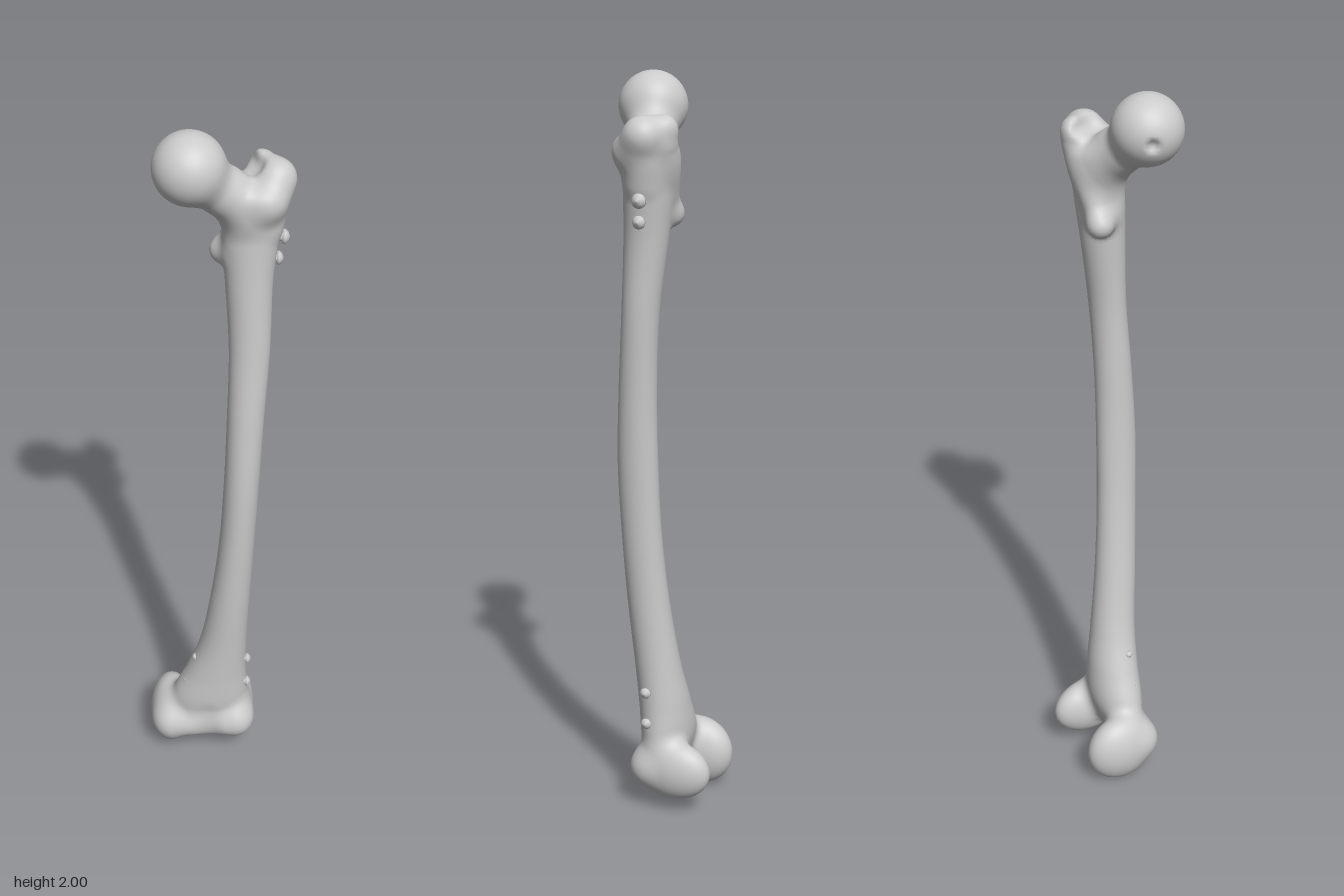
import * as THREE from 'three';

const V = (x, y, z) => new THREE.Vector3(x, y, z);

// Shaft outline by height: y, then left/right x limits and back/front z limits
const SHAFT = [
  [0.12, -0.13, 0.085, -0.05, 0.055],
  [0.20, -0.122, 0.094, -0.07, 0.066],
  [0.30, -0.08, 0.09, -0.065, 0.07],
  [0.40, -0.045, 0.09, -0.05, 0.075],
  [0.60, -0.01, 0.098, -0.025, 0.09],
  [0.80, 0.013, 0.108, -0.01, 0.1],
  [1.00, 0.025, 0.118, -0.005, 0.105],
  [1.20, 0.032, 0.128, -0.005, 0.096],
  [1.40, 0.036, 0.14, -0.015, 0.082],
  [1.60, 0.025, 0.145, -0.04, 0.075],
  [1.70, 0.018, 0.156, -0.052, 0.073],
  [1.84, 0.03, 0.172, -0.06, 0.07],
];
const outline = new THREE.CubicInterpolant(
  SHAFT.map(r => r[0]), SHAFT.flatMap(r => r.slice(1)), 4, new Float64Array(4));

// Distance helpers: smooth blend, smooth cut, ellipsoid, tapered rod
function blend(a, b, k) {
  const h = Math.max(k - Math.abs(a - b), 0) / k;
  return Math.min(a, b) - h * h * k / 4;
}
const cut = (a, b, k) => -blend(-a, b, k);

function ellipsoid(dx, dy, dz, rx, ry, rz) {
  const k0 = Math.hypot(dx / rx, dy / ry, dz / rz);
  const k1 = Math.hypot(dx / rx ** 2, dy / ry ** 2, dz / rz ** 2);
  return k1 < 1e-6 ? -Math.min(rx, rz) : k0 * (k0 - 1) / k1;
}

function rod(x, y, z, a, b, ra, rb) {
  const ux = b.x - a.x, uy = b.y - a.y, uz = b.z - a.z;
  const px = x - a.x, py = y - a.y, pz = z - a.z;
  const t = THREE.MathUtils.clamp(
    (px * ux + py * uy + pz * uz) / (ux * ux + uy * uy + uz * uz), 0, 1);
  return Math.hypot(px - t * ux, py - t * uy, pz - t * uz) - (ra + t * (rb - ra));
}

function shaft(x, y, z) {
  const [x0, x1, z0, z1] = outline.evaluate(THREE.MathUtils.clamp(y, 0.12, 1.84));
  const d = ellipsoid(x - (x0 + x1) / 2, 0, z - (z0 + z1) / 2, (x1 - x0) / 2, 1, (z1 - z0) / 2);
  return cut(d, Math.min(1.83 - y, y - 0.12), 0.03);
}

// Landmarks of the upper end
const neckIn = V(-0.03, 1.88, 0.053), neckOut = V(0.075, 1.795, 0.01);
const crestBack = V(0.112, 1.87, -0.04), crestSide = V(0.146, 1.855, 0), crestFront = V(0.125, 1.815, 0.042);
const flank = V(0.125, 1.74, 0.01), lesser = V(0.02, 1.652, -0.024);

function upperEnd(d, x, y, z) {
  // Neck and greater trochanter
  d = blend(d, rod(x, y, z, neckIn, neckOut, 0.058, 0.068), 0.04);
  d = blend(d, rod(x, y, z, crestSide, flank, 0.04, 0.035), 0.03);
  d = blend(d, rod(x, y, z, crestFront, crestSide, 0.045, 0.04), 0.03);
  d = blend(d, rod(x, y, z, crestBack, crestSide, 0.038, 0.042), 0.02);
  // Ridge down to the lesser trochanter
  d = blend(d, rod(x, y, z, V(0.11, 1.83, -0.04), lesser, 0.03, 0.02), 0.03);
  d = blend(d, rod(x, y, z, lesser, V(0.05, 1.66, 0), 0.029, 0.03), 0.03);
  // Hollow beside the crest
  d = cut(d, rod(x, y, z, V(0.09, 1.895, 0), V(0.075, 1.89, -0.045), 0.024, 0.02), 0.02);
  // Ball of the hip and its small pit
  d = blend(d, Math.hypot(x + 0.058, y - 1.911, z - 0.062) - 0.089, 0.025);
  return cut(d, Math.hypot(x + 0.143, y - 1.9, z - 0.03) - 0.014, 0.015);
}

function lowerEnd(d, x, y, z) {
  // Inner and outer condyles
  d = blend(d, ellipsoid(x + 0.128, y - 0.1, z + 0.045, 0.06, 0.1, 0.1), 0.035);
  d = blend(d, ellipsoid(x - 0.06, y - 0.122, z + 0.045, 0.054, 0.084, 0.109), 0.035);
  // Knee face with its central groove
  d = blend(d, rod(x, y, z, V(-0.125, 0.105, 0.018), V(0.06, 0.12, 0.024), 0.05, 0.05), 0.03);
  return cut(d, rod(x, y, z, V(-0.025, 0.02, 0.095), V(-0.02, 0.17, 0.105), 0.035, 0.03), 0.03);
}

function bone(x, y, z) {
  const d = shaft(x, y, z);
  return y > 1.45 ? upperEnd(d, x, y, z) : y < 0.5 ? lowerEnd(d, x, y, z) : d;
}

// Skin of a smooth solid: one point per boundary cell, pulled onto the surface
function skin(f, min, max, h) {
  const n = ['x', 'y', 'z'].map(k => Math.ceil((max[k] - min[k]) / h) + 1);
  const stride = [1, n[0], n[0] * n[1]];
  const values = new Float32Array(n[0] * n[1] * n[2]);
  const at = (i, j, k) => i + j * stride[1] + k * stride[2];
  for (let k = 0; k < n[2]; k++) for (let j = 0; j < n[1]; j++) for (let i = 0; i < n[0]; i++)
    values[at(i, j, k)] = f(min.x + i * h, min.y + j * h, min.z + k * h);

  const e = 0.001;
  const slope = p => V(
    f(p.x + e, p.y, p.z) - f(p.x - e, p.y, p.z),
    f(p.x, p.y + e, p.z) - f(p.x, p.y - e, p.z),
    f(p.x, p.y, p.z + e) - f(p.x, p.y, p.z - e)).divideScalar(2 * e);
  const positions = [], normals = [], index = [], ids = new Map();
  const vertex = (cell) => {
    if (ids.has(cell)) return ids.get(cell);
    const i = cell % n[0], j = Math.floor(cell / stride[1]) % n[1], k = Math.floor(cell / stride[2]);
    const p = V(min.x + (i + 0.5) * h, min.y + (j + 0.5) * h, min.z + (k + 0.5) * h);
    for (let s = 0; s < 4; s++) {
      const g = slope(p);
      p.addScaledVector(g, -f(p.x, p.y, p.z) / Math.max(g.lengthSq(), 0.1));
    }
    positions.push(p.x, p.y, p.z);
    normals.push(...slope(p).normalize().toArray());
    ids.set(cell, ids.size);
    return ids.size - 1;
  };
  // A quad around every grid edge that crosses the surface
  for (let k = 1; k < n[2] - 1; k++) for (let j = 1; j < n[1] - 1; j++) for (let i = 1; i < n[0] - 1; i++) {
    const c = at(i, j, k);
    for (let a = 0; a < 3; a++) {
      const inside = values[c] < 0;
      if (inside === values[c + stride[a]] < 0) continue;
      const sb = stride[(a + 1) % 3], sc = stride[(a + 2) % 3];
      const q = [c - sb - sc, c - sc, c, c - sb].map(vertex);
      if (!inside) q.reverse();
      index.push(q[0], q[1], q[2], q[0], q[2], q[3]);
    }
  }
  const geometry = new THREE.BufferGeometry();
  geometry.setAttribute('position', new THREE.Float32BufferAttribute(positions, 3));
  geometry.setAttribute('normal', new THREE.Float32BufferAttribute(normals, 3));
  geometry.setIndex(index);
  return geometry;
}

export function createModel() {
  const model = new THREE.Group();
  model.name = 'thighBone';
  const material = new THREE.MeshStandardMaterial({ color: 0xcccccc });

  const body = new THREE.Mesh(skin(bone, V(-0.23, -0.04, -0.2), V(0.23, 2.04, 0.2), 0.009), material);
  body.name = 'bone';
  model.add(body);

  // Small pegs on the sides: x, y, z, radius, side
  const profile = [[0, -1.2], [0.6, -1.2], [0.6, 0], [1, 0.1], [1, 0.45], [0.6, 0.85], [0, 1.05]]
    .map(p => new THREE.Vector2(...p));
  const pegShape = new THREE.LatheGeometry(profile, 16);
  const pegs = [
    [0.163, 1.70, 0.0, 0.019, 1], [0.151, 1.645, 0.006, 0.017, 1],
    [0.088, 0.35, 0.022, 0.015, 1], [0.088, 0.26, 0.02, 0.015, 1],
    [-0.053, 0.355, 0.022, 0.011, -1], [-0.078, 0.265, 0.02, 0.012, -1],
  ];
  pegs.forEach(([x, y, z, r, side], i) => {
    const peg = new THREE.Mesh(pegShape, material);
    peg.name = `peg${i + 1}`;
    peg.position.set(x, y, z);
    peg.scale.setScalar(r);
    peg.rotation.z = -side * Math.PI / 2;
    model.add(peg);
  });
  return model;
}
